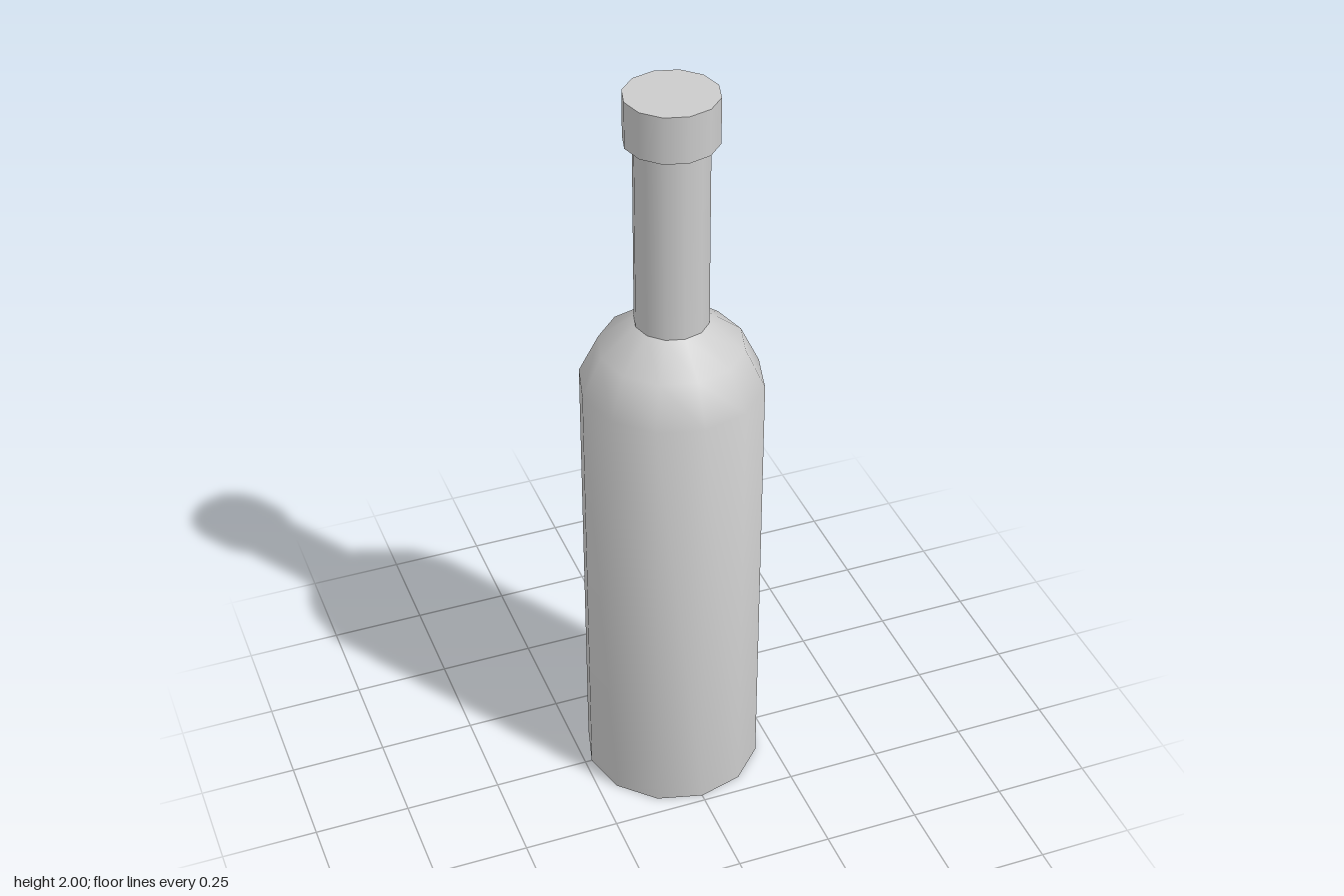
import * as THREE from 'three';
import { toCreasedNormals } from 'three/addons/utils/BufferGeometryUtils.js';

const SIDES = 12;

export function createModel() {
  const bottle = new THREE.Group();
  bottle.name = 'bottle';
  const material = new THREE.MeshStandardMaterial({ color: 0xcccccc });

  const add = (name, geometry, y = 0) => {
    const mesh = new THREE.Mesh(geometry, material);
    mesh.name = name;
    mesh.position.y = y;
    bottle.add(mesh);
  };

  // Body with rounded shoulder, closed at the base
  const profile = [[0, 0], [0.232, 0], [0.232, 1.21], [0.182, 1.315], [0.093, 1.385]]
    .map(([r, y]) => new THREE.Vector2(r, y));
  add('body', toCreasedNormals(new THREE.LatheGeometry(profile, SIDES), 0.7));

  // Slim open tube between shoulder and cap
  add('neck', new THREE.CylinderGeometry(0.093, 0.093, 0.495, SIDES, 1, true), 1.6325);

  // Wider cap closing the top
  add('cap', new THREE.CylinderGeometry(0.116, 0.116, 0.12, SIDES), 1.94);

  return bottle;
}
